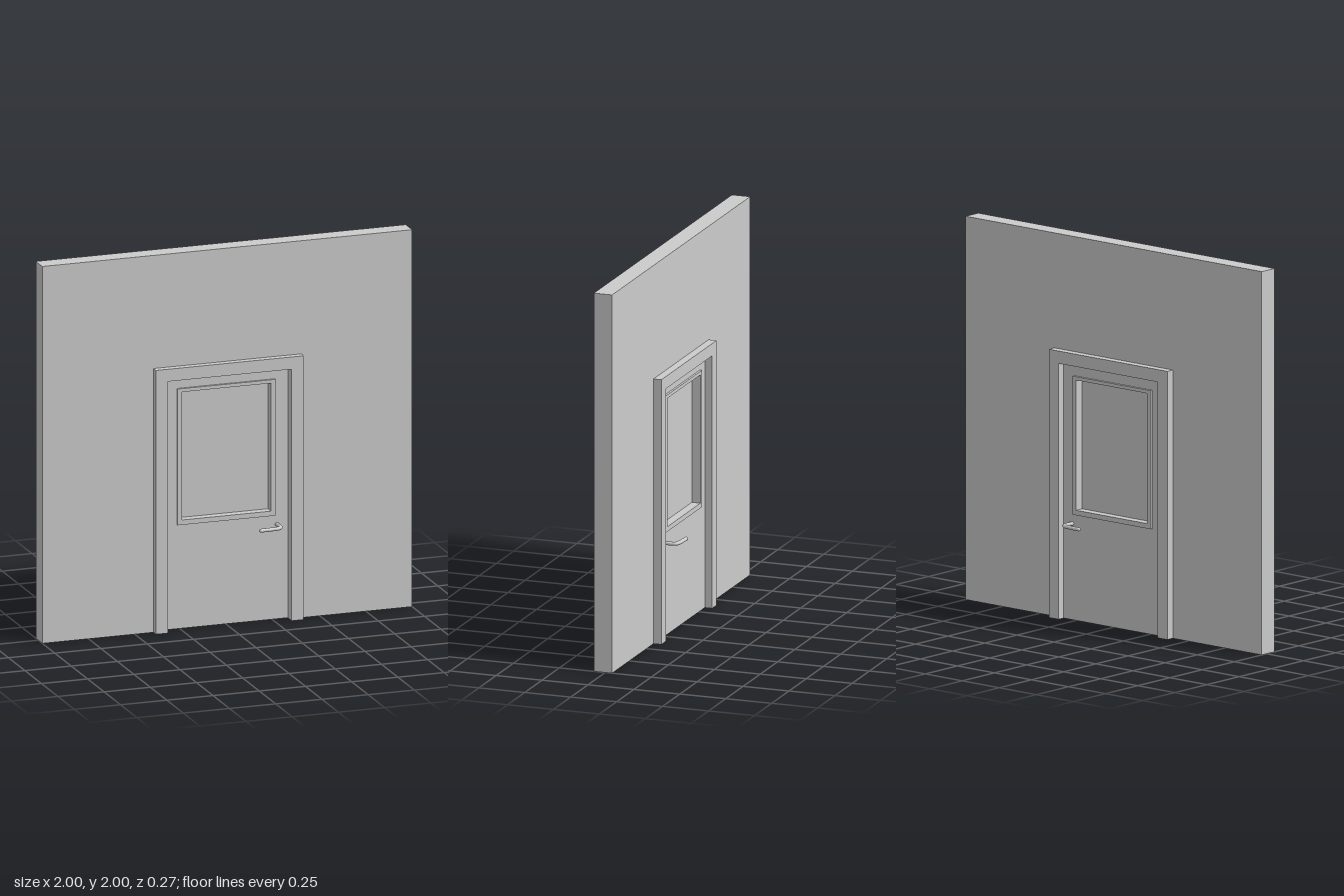
import * as THREE from 'three';

const material = new THREE.MeshStandardMaterial({ color: 0xcccccc });

function named(geometry, name, parent) {
  const mesh = new THREE.Mesh(geometry, material);
  mesh.name = name;
  parent.add(mesh);
  return mesh;
}

// Closed outline of an upright rectangle centred on x = 0
function rect(Type, halfWidth, bottom, top) {
  return new Type([
    new THREE.Vector2(-halfWidth, bottom), new THREE.Vector2(halfWidth, bottom),
    new THREE.Vector2(halfWidth, top), new THREE.Vector2(-halfWidth, top),
  ]);
}

// Arch outline: a rectangle with a doorway open at the floor
function arch(outerHalf, outerTop, innerHalf, innerTop) {
  return new THREE.Shape([
    [-outerHalf, 0], [-innerHalf, 0], [-innerHalf, innerTop], [innerHalf, innerTop],
    [innerHalf, 0], [outerHalf, 0], [outerHalf, outerTop], [-outerHalf, outerTop],
  ].map(([x, y]) => new THREE.Vector2(x, y)));
}

function slab(shape, back, front) {
  return new THREE.ExtrudeGeometry(shape, { depth: front - back, bevelEnabled: false })
    .translate(0, 0, back);
}

// Curved lever with a rounded tip; side is +1 for front, -1 for back
function addHandle(side, parent) {
  const handle = new THREE.Group();
  handle.name = side > 0 ? 'frontHandle' : 'backHandle';
  const radius = 0.011;
  const path = new THREE.CatmullRomCurve3([
    [0.276, 0.035], [0.276, 0.085], [0.271, 0.107], [0.252, 0.118], [0.215, 0.122], [0.161, 0.125],
  ].map(([x, z]) => new THREE.Vector3(x, 0, z * side)));
  named(new THREE.TubeGeometry(path, 32, radius, 12), 'lever', handle);
  const tip = named(new THREE.SphereGeometry(radius, 12, 8), 'leverTip', handle);
  tip.position.copy(path.getPoint(1));
  handle.position.y = 0.502;
  handle.scale.y = 0.9;
  parent.add(handle);
}

export function createModel() {
  const model = new THREE.Group();
  model.name = 'doorInWall';

  // Wall and the frame lining its doorway
  named(slab(arch(1, 2, 0.4, 1.4), -0.037, 0.062), 'wall', model);
  named(slab(arch(0.4, 1.4, 0.335, 1.335), -0.08, 0.1), 'doorFrame', model);

  // Door leaf with a window opening
  const door = new THREE.Group();
  door.name = 'door';
  model.add(door);
  const leaf = rect(THREE.Shape, 0.335, 0, 1.335);
  leaf.holes.push(rect(THREE.Path, 0.265, 0.552, 1.275));
  named(slab(leaf, -0.04, 0.04), 'doorLeaf', door);

  // Raised trim around a thin pane
  const trim = rect(THREE.Shape, 0.265, 0.552, 1.275);
  trim.holes.push(rect(THREE.Path, 0.24, 0.578, 1.257));
  named(slab(trim, -0.052, 0.052), 'windowTrim', door);
  named(slab(rect(THREE.Shape, 0.24, 0.578, 1.257), -0.005, 0.005), 'windowPane', door);

  for (const side of [1, -1]) addHandle(side, door);
  return model;
}
